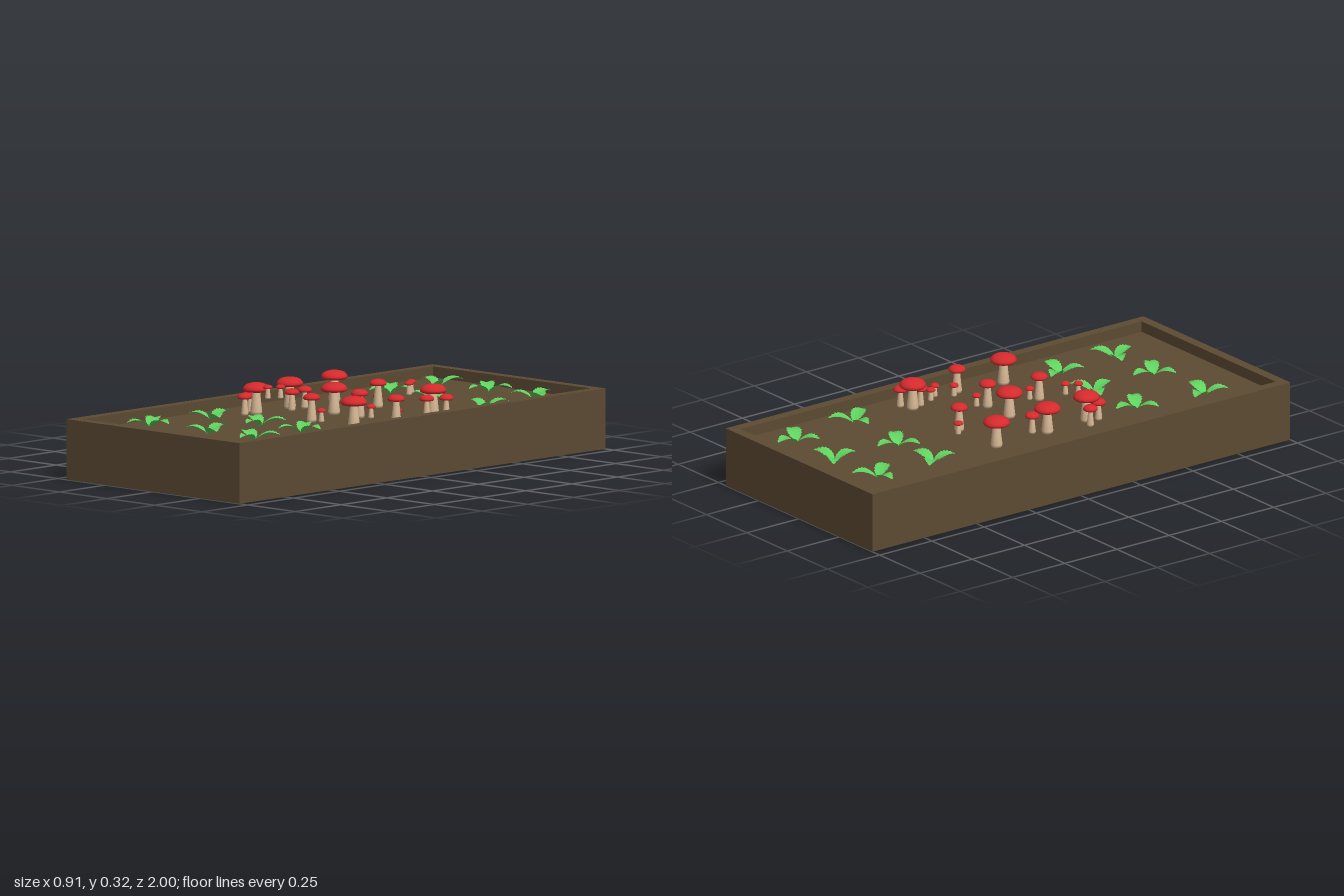
import * as THREE from 'three';

const FLOOR = 0.19;   // soil level inside the tray
const RIM = 0.232;    // top of the tray wall

const wood = new THREE.MeshStandardMaterial({ color: 0x5c4a33 });
wood.name = 'brownWood';
const red = new THREE.MeshStandardMaterial({ color: 0xd62a2d });
red.name = 'capRed';
const cream = new THREE.MeshStandardMaterial({ color: 0xd8b995 });
cream.name = 'stemCream';
const green = new THREE.MeshStandardMaterial({ color: 0x5fd35f, side: THREE.DoubleSide });
green.name = 'leafGreen';

function addMesh(parent, name, geometry, material) {
  const mesh = new THREE.Mesh(geometry, material);
  mesh.name = name;
  parent.add(mesh);
  return mesh;
}

// Closed rectangle outline on the ground plane
function rectangle(Type, hx, hz) {
  return new Type([[-hx, -hz], [hx, -hz], [hx, hz], [-hx, hz]].map(([x, y]) => new THREE.Vector2(x, y)));
}

// Tray: a wall all round and a sunken soil bed
function createTray() {
  const tray = new THREE.Group();
  tray.name = 'tray';
  const outline = rectangle(THREE.Shape, 0.455, 1);
  outline.holes.push(rectangle(THREE.Path, 0.415, 0.96));
  const wall = new THREE.ExtrudeGeometry(outline, { depth: RIM, bevelEnabled: false });
  wall.rotateX(-Math.PI / 2);
  addMesh(tray, 'trayWall', wall, wood);
  addMesh(tray, 'soilBed', new THREE.BoxGeometry(0.83, FLOOR, 1.92), wood).position.y = FLOOR / 2;
  return tray;
}

// Mushroom sizes: cap radius, cap height, full height, stem radii
const SIZES = {
  big: { r: 0.051, cap: 0.034, h: 0.122, top: 0.014, foot: 0.023 },
  medium: { r: 0.033, cap: 0.024, h: 0.11, top: 0.011, foot: 0.019 },
  small: { r: 0.028, cap: 0.022, h: 0.085, top: 0.008, foot: 0.014 },
  tiny: { r: 0.018, cap: 0.015, h: 0.053, top: 0.007, foot: 0.011 },
};

// Rounded cap profile as fractions of cap radius and cap height
const CAP = [[0, 0.18], [0.5, 0.08], [0.85, 0], [0.97, 0.13], [1, 0.3], [0.94, 0.5],
  [0.8, 0.72], [0.6, 0.87], [0.32, 0.97], [0, 1]];

function createMushroom(size) {
  const { r, cap, h, top, foot } = SIZES[size];
  const mushroom = new THREE.Group();
  mushroom.name = size + 'Mushroom';
  const base = h - cap;
  const capProfile = CAP.map(([x, y]) => new THREE.Vector2(x * r, base + y * cap));
  addMesh(mushroom, 'cap', new THREE.LatheGeometry(capProfile, 24), red);
  const stemProfile = [[0, 0], [foot * 0.85, 0], [foot, base * 0.12],
    [(foot + top) / 2, base * 0.55], [top, base + cap * 0.2]].map(([x, y]) => new THREE.Vector2(x, y));
  addMesh(mushroom, 'stem', new THREE.LatheGeometry(stemProfile, 16), cream);
  return mushroom;
}

// Serrated, folded leaf arching outward along +x
function createLeafGeometry(length, halfWidth) {
  const rows = 17;
  const points = [];
  const index = [];
  for (let i = 0; i < rows; i++) {
    const t = i / (rows - 1);
    const tooth = i % 2 ? 1.1 : 0.88;
    const w = halfWidth * Math.pow(Math.sin(Math.PI * Math.pow(t, 0.85)), 0.8) * tooth + 0.0015 * (1 - t);
    const y = 0.002 + 0.027 * Math.sin(Math.PI * 0.72 * t);
    const sweep = i % 2 ? 0.003 : 0;
    for (const side of [-1, 0, 1]) {
      points.push(t * length + (side && t < 1 ? sweep : 0), y + Math.abs(side) * w * 0.3, side * w);
    }
    if (i === rows - 1) continue;
    for (const k of [0, 1]) {
      const a = i * 3 + k;
      index.push(a, a + 1, a + 3, a + 1, a + 4, a + 3);
    }
  }
  const geometry = new THREE.BufferGeometry();
  geometry.setAttribute('position', new THREE.Float32BufferAttribute(points, 3));
  geometry.setIndex(index);
  geometry.computeVertexNormals();
  return geometry;
}

function createSeedling(leaf, degrees) {
  const plant = new THREE.Group();
  plant.name = 'seedling';
  [1, 0.92, 1].forEach((scale, i) => {
    const mesh = addMesh(plant, 'leaf', leaf, green);
    mesh.scale.setScalar(scale);
    mesh.rotation.y = -THREE.MathUtils.degToRad(degrees + i * 120);
  });
  return plant;
}

// Positions as [x, z], with an optional base height
const MUSHROOMS = {
  big: [[-0.24, -0.24], [0.28, -0.24], [-0.238, 0.005], [-0.015, -0.005], [-0.227, 0.2], [0.287, 0.2]],
  medium: [[-0.015, -0.245], [0.122, -0.003], [0.065, 0.2], [0.32, 0.003]],
  small: [[0.328, -0.262], [0.29, -0.195], [-0.205, -0.042], [-0.196, 0.038], [-0.278, 0.18], [-0.242, 0.247]],
  tiny: [[-0.042, -0.27], [0.156, -0.03], [0.092, 0.175], [0.296, -0.03],
    [-0.132, 0.235, 0.263], [-0.104, 0.195, 0.263], [0.155, -0.25, 0.263], [0.182, -0.21, 0.263]],
};

// Seedlings as [x, z, turn in degrees]
const SEEDLINGS = [
  [-0.235, -0.805, 60], [0.012, -0.82, -20], [0.26, -0.81, 24],
  [-0.23, -0.535, -14], [-0.01, -0.535, 28], [0.295, -0.51, 60],
  [-0.24, 0.43, 28], [0.003, 0.415, -37], [0.237, 0.435, -1],
  [-0.275, 0.73, 0], [0.01, 0.705, 28], [0.25, 0.705, -38],
];

export function createModel() {
  const model = new THREE.Group();
  model.name = 'mushroomPlanter';
  model.add(createTray());

  for (const [size, spots] of Object.entries(MUSHROOMS)) {
    for (const [x, z, y = FLOOR] of spots) {
      const mushroom = createMushroom(size);
      mushroom.position.set(x, y, z);
      model.add(mushroom);
    }
  }

  const leaf = createLeafGeometry(0.098, 0.027);
  for (const [x, z, turn] of SEEDLINGS) {
    const plant = createSeedling(leaf, turn);
    plant.position.set(x, FLOOR, z);
    model.add(plant);
  }
  return model;
}
